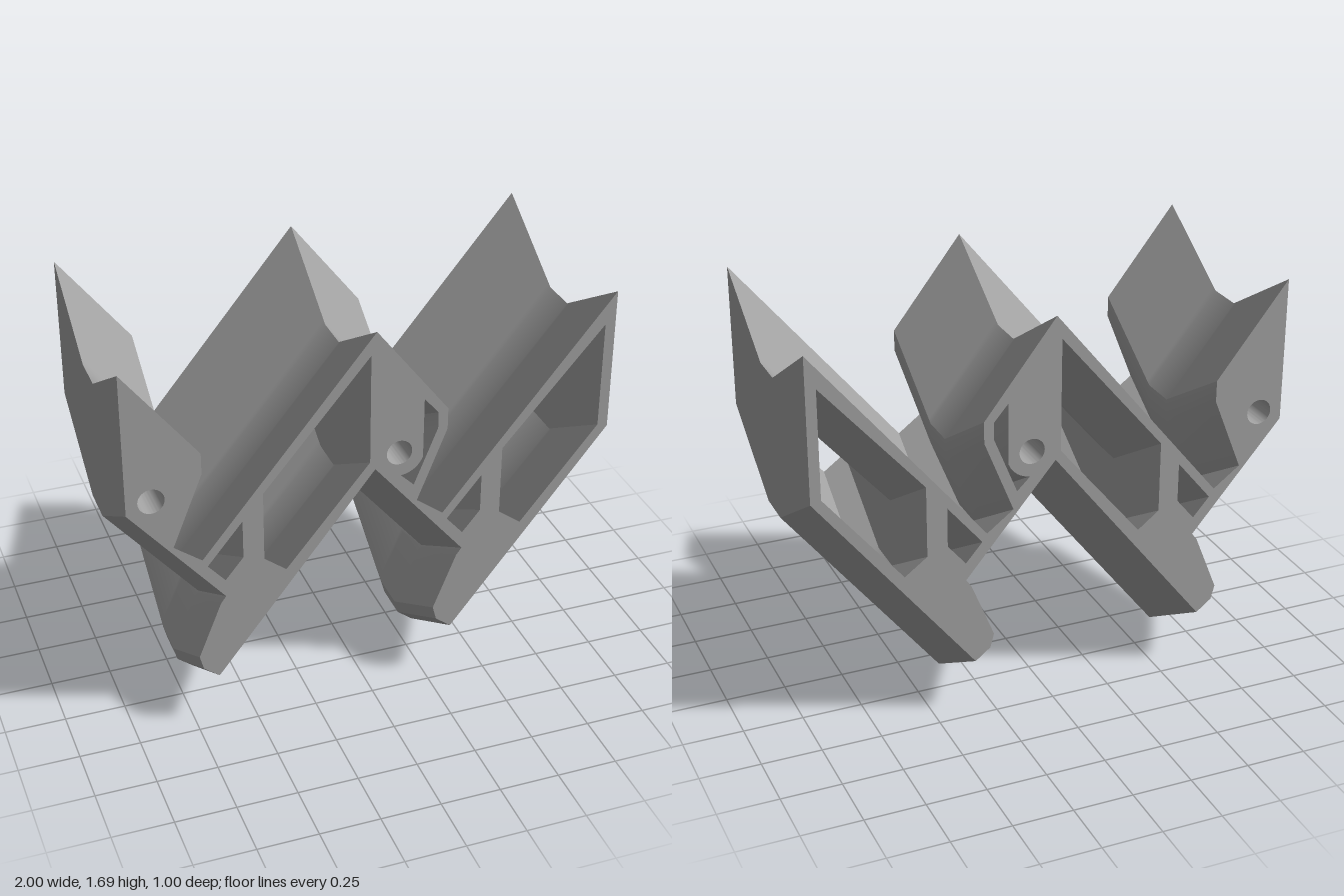
import * as THREE from 'three';
import { toCreasedNormals } from 'three/addons/utils/BufferGeometryUtils.js';

// Depth stations of the body and how far each is raised: a V with a flat keel.
const STATIONS = [-0.5, -0.1, -0.08, 0.08, 0.1, 0.5];
const KEEL = 0.08, RISE = 0.253;
const lift = z => RISE * (Math.max(Math.abs(z) - KEEL, 0) / (0.5 - KEEL) - 1);

const BOLTS = [[-0.9, 1.14], [0.1, 1.15]];
const BOLT_R = 0.053;

const points = (list, dx = 0) => list.map(([x, y]) => new THREE.Vector2(x + dx, y));

// Lower edge of one tooth: arm underside, blunt foot.
const LOWER = [[-1, 1.095], [-0.62, 0.64], [-0.642, 0.61], [-0.738, 0.37], [-0.722, 0.31], [-0.658, 0.26]];
// Upper edge of one tooth, right to left: slot, then the front lip.
const UPPER = [[-0.71, 0.83], [-0.822, 0.914], [-0.7, 1.22], [-0.7, 1.31], [-1, 1.697]];

function profile() {
  const shape = new THREE.Shape([
    ...points(LOWER), ...points(LOWER, 1),
    ...points([[1, 1.095], [1, 1.697]]),
    ...points(UPPER, 1), ...points(UPPER),
  ]);
  const cut = (list, dx = 0) => shape.holes.push(new THREE.Path(points(list, dx)));

  // Long windows in the two slanted bars
  cut([[-0.46, 1.08], [-0.46, 0.78], [-0.37, 0.71], [-0.022, 1.13], [-0.022, 1.6]]);
  cut([[0.54, 1.08], [0.54, 0.78], [0.635, 0.71], [0.957, 1.107], [0.957, 1.56]]);
  // Small windows beside the slots
  for (const dx of [0, 1]) cut([[-0.545, 0.973], [-0.69, 0.797], [-0.62, 0.716], [-0.545, 0.807]], dx);

  // Pocket curving round the inner bolt hole
  const [bx, by] = BOLTS[1];
  const arc = [];
  for (let i = 0; i <= 6; i++) {
    const a = -1.5 + i * 0.19;
    arc.push([bx + 0.106 * Math.cos(a), by + 0.106 * Math.sin(a)]);
  }
  cut([...arc, [0.2, 1.37], [0.26, 1.3], [0.26, 1.23], [0.163, 0.99]]);

  // Bolt holes
  for (const [x, y] of BOLTS) {
    const hole = new THREE.Path();
    hole.absarc(x, y, BOLT_R, 0, Math.PI * 2, true);
    shape.holes.push(hole);
  }
  return shape;
}

export function createModel() {
  const steps = STATIONS.length - 1;
  const geometry = new THREE.ExtrudeGeometry(profile(), {
    depth: steps, steps, bevelEnabled: false, curveSegments: 28,
  });

  // Bend the body into its V; the bolt holes stay straight.
  const pos = geometry.attributes.position;
  for (let i = 0; i < pos.count; i++) {
    const x = pos.getX(i), y = pos.getY(i);
    const z = STATIONS[Math.round(pos.getZ(i))];
    const isBolt = BOLTS.some(([bx, by]) => Math.hypot(x - bx, y - by) < BOLT_R + 0.01);
    pos.setXYZ(i, x, isBolt ? y : y + lift(z) + RISE - 0.253, z);
  }

  const grey = new THREE.MeshStandardMaterial({ color: 0xa3a3a3 });
  grey.name = 'grey';
  const body = new THREE.Mesh(toCreasedNormals(geometry, 0.6), grey);
  body.name = 'toothedBody';

  const group = new THREE.Group();
  group.name = 'chevronBracket';
  group.add(body);
  return group;
}
